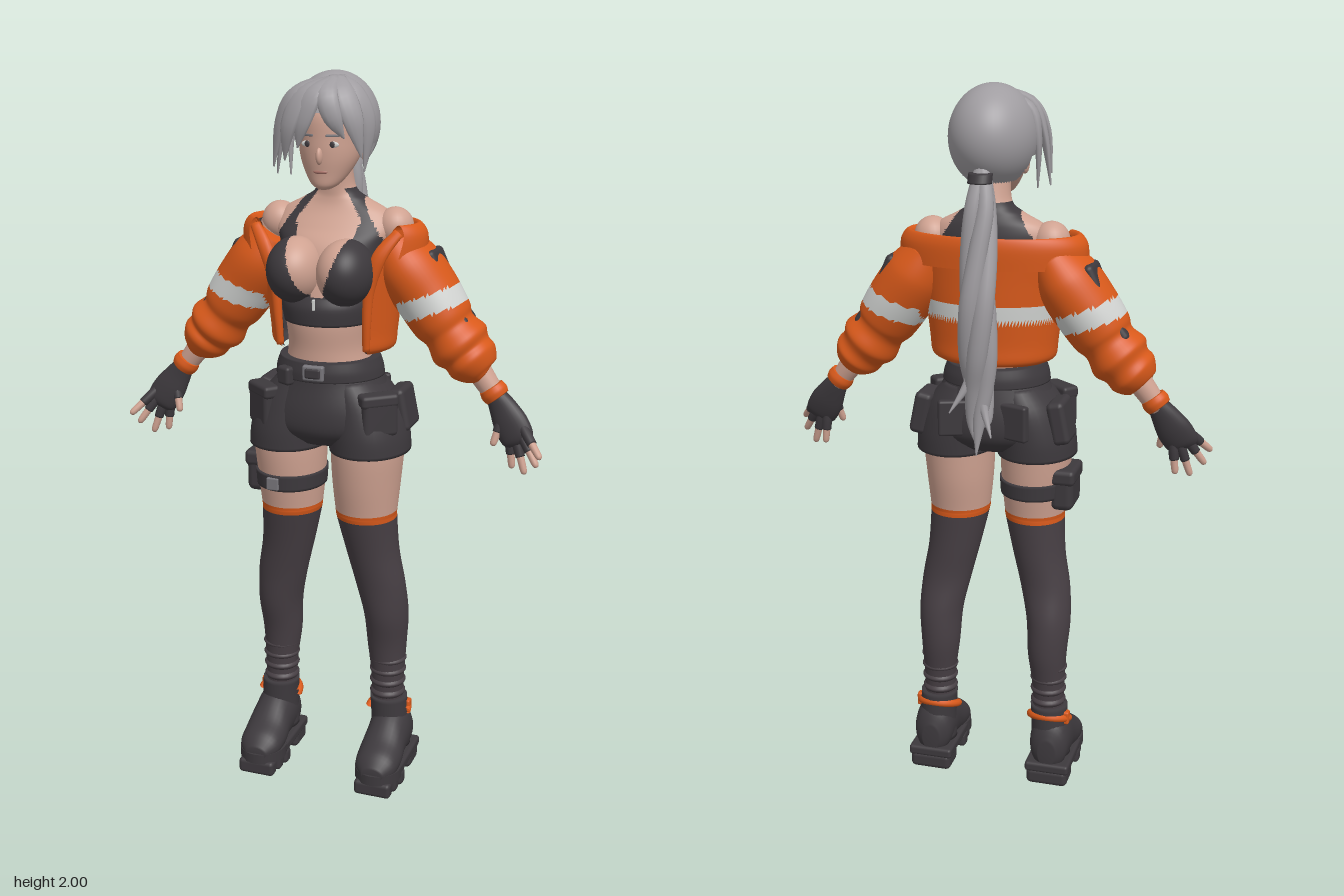
import * as THREE from 'three';
import { RoundedBoxGeometry } from 'three/addons/geometries/RoundedBoxGeometry.js';

const V = (x, y, z) => new THREE.Vector3(x, y, z);
const UP = V(0, 1, 0), X = V(1, 0, 0), Z = V(0, 0, 1);
const mat = (name, color, side = THREE.FrontSide) => {
  const m = new THREE.MeshStandardMaterial({ color, side });
  m.name = name;
  return m;
};

// Catmull-Rom interpolation of every column in a list of stations
function smooth(rows, k = 5) {
  const out = [], n = rows.length, at = i => rows[Math.min(n - 1, Math.max(0, i))];
  for (let i = 0; i < n - 1; i++) for (let s = 0; s < k; s++) {
    const t = s / k, [a, b, c, d] = [at(i - 1), at(i), at(i + 1), at(i + 2)];
    out.push(b.map((_, j) => 0.5 * (2 * b[j] + (c[j] - a[j]) * t + (2 * a[j] - 5 * b[j] + 4 * c[j] - d[j]) * t * t
      + (3 * b[j] - a[j] - 3 * c[j] + d[j]) * t ** 3)));
  }
  out.push(rows[n - 1]);
  return out;
}
function build(pos, index) {
  const g = new THREE.BufferGeometry();
  g.setAttribute('position', new THREE.Float32BufferAttribute(pos, 3));
  g.setIndex(index);
  g.computeVertexNormals();
  return g;
}
// Closed elliptical rings through stations [x, y, z, a, b]; a lies along hint; axis fixes the ring tilt
function loft(stations, { hint = X, axis = null, n = 28, k = 5 } = {}) {
  const rows = smooth(stations, k), pos = [], index = [], m = rows.length;
  const P = i => V(...rows[Math.min(m - 1, Math.max(0, i))].slice(0, 3));
  rows.forEach(([x, y, z, a, b], i) => {
    const T = axis || P(i + 1).sub(P(i - 1)).normalize();
    const U = hint.clone().addScaledVector(T, -hint.dot(T)).normalize(), W = T.clone().cross(U);
    for (let j = 0; j < n; j++) {
      const t = j / n * Math.PI * 2;
      const p = V(x, y, z).addScaledVector(U, Math.max(a, 0.001) * Math.cos(t)).addScaledVector(W, Math.max(b, 0.001) * Math.sin(t));
      pos.push(p.x, p.y, p.z);
      if (i < m - 1) {
        const q = i * n + j, r = i * n + (j + 1) % n;
        index.push(q, r, r + n, q, r + n, q + n);
      }
    }
  });
  const e = m * n;
  pos.push(...rows[0].slice(0, 3), ...rows[m - 1].slice(0, 3));
  for (let j = 0; j < n; j++) {
    const r = (j + 1) % n;
    index.push(e, r, j, e + 1, e - n + j, e - n + r);
  }
  return build(pos, index);
}
// Sheet wrapped around the back, open at the front; stations [y, rx, rz, cz, open angle]
function wrap(stations, n = 64) {
  const rows = smooth(stations), pos = [], index = [];
  rows.forEach(([y, rx, rz, cz, open], i) => {
    for (let j = 0; j <= n; j++) {
      const t = open + (Math.PI * 2 - open * 2) * j / n;
      pos.push(rx * Math.sin(t), y, cz + rz * Math.cos(t));
      if (i < rows.length - 1 && j < n) {
        const q = i * (n + 1) + j, r = q + n + 1;
        index.push(q, q + 1, r + 1, q, r + 1, r);
      }
    }
  });
  return build(pos, index);
}
const blob = (c, r, w = 28, h = 20) => new THREE.SphereGeometry(1, w, h).scale(...r).translate(...c);
// Sort faces into material groups by their centre; -1 drops the face
function paint(g, count, rule) {
  const p = g.attributes.position, ix = g.index.array, sets = Array.from({ length: count }, () => []);
  for (let i = 0; i < ix.length; i += 3) {
    const f = [ix[i], ix[i + 1], ix[i + 2]], mid = fn => f.reduce((s, v) => s + fn(v), 0) / 3;
    const k = rule(mid(v => p.getX(v)), mid(v => p.getY(v)), mid(v => p.getZ(v)));
    if (k >= 0) sets[k].push(...f);
  }
  g.setIndex(sets.flat());
  g.clearGroups();
  let start = 0;
  sets.forEach((s, k) => { g.addGroup(start, s.length, k); start += s.length; });
  return g;
}

export function createModel() {
  const model = new THREE.Group();
  const skin = mat('skin', 0xcfa291), orange = mat('orange cloth', 0xd8591a, THREE.DoubleSide);
  const dark = mat('dark cloth', 0x3d393d, THREE.DoubleSide), stocking = mat('stocking', 0x473f44);
  const hair = mat('hair', 0xa09da1, THREE.DoubleSide), white = mat('reflective white', 0xd2d4d2, THREE.DoubleSide);
  const lips = mat('lips', 0xab756b), metal = mat('metal', 0x77757a);
  const add = (name, geo, m) => {
    const mesh = new THREE.Mesh(geo, m);
    mesh.name = name;
    model.add(mesh);
    return mesh;
  };
  const box = (name, m, size, p, ry = 0, rz = 0) => {
    const b = add(name, new RoundedBoxGeometry(...size, 2, Math.min(...size) * 0.3), m);
    b.position.set(...p);
    b.rotation.set(0, ry, rz);
  };

  // Torso and bust, with the halter top coloured by its outline
  const halter = (x, y, z) => {
    const ax = Math.abs(x);
    if (y < 1.36 || y > 1.7 || ax > 0.065 + (1.7 - y) * 0.65) return 0;
    const neck = y < 1.42 ? 0 : y < 1.62 ? 0.09 * ((y - 1.42) / 0.2) ** 0.6 : 0.09 - (y - 1.62) * 0.7;
    return z > 0 && ax < neck ? 0 : 1;
  };
  const torso = loft([[0, 1.2, 0.035, 0.13, 0.11], [0, 1.28, 0.037, 0.113, 0.108], [0, 1.36, 0.042, 0.118, 0.11],
    [0, 1.45, 0.03, 0.13, 0.11], [0, 1.55, 0.012, 0.145, 0.1], [0, 1.6, -0.008, 0.165, 0.082], [0, 1.64, -0.018, 0.145, 0.065],
    [0, 1.67, -0.018, 0.09, 0.054], [0, 1.7, -0.014, 0.053, 0.05], [0, 1.78, 0, 0.045, 0.047]], { axis: UP, n: 96, k: 9 });
  add('torso', paint(torso, 2, halter), [skin, dark]);
  for (const s of [1, -1])
    add('bust', paint(blob([s * 0.07, 1.495, 0.11], [0.076, 0.088, 0.095], 64, 56), 2, halter), [skin, dark]);
  add('topBand', loft([[0, 1.355, 0.045, 0.121, 0.115], [0, 1.4, 0.045, 0.128, 0.118], [0, 1.43, 0.04, 0.125, 0.11]], { axis: UP, n: 48 }), dark);
  box('zipPull', white, [0.008, 0.03, 0.008], [0, 1.415, 0.165]);

  // Head and face
  add('head', loft([[0, 1.705, 0.08, 0.015, 0.018], [0, 1.717, 0.072, 0.036, 0.036], [0, 1.745, 0.052, 0.058, 0.06],
    [0, 1.785, 0.033, 0.077, 0.085], [0, 1.83, 0.02, 0.084, 0.1], [0, 1.9, 0.012, 0.085, 0.103], [0, 1.96, 0, 0.055, 0.07]], { axis: UP, n: 40 }), skin);
  add('nose', blob([0, 1.793, 0.118], [0.009, 0.022, 0.014]), skin);
  add('mouth', blob([0, 1.752, 0.109], [0.02, 0.006, 0.006]), lips);
  for (const s of [1, -1]) {
    add('eye', blob([s * 0.034, 1.823, 0.111], [0.017, 0.008, 0.004]), white);
    add('iris', blob([s * 0.034, 1.823, 0.114], [0.007, 0.008, 0.003]), dark);
    box('brow', metal, [0.036, 0.006, 0.008], [s * 0.034, 1.845, 0.111], s * 0.35);
    add('ear', blob([s * 0.085, 1.8, 0.0], [0.012, 0.03, 0.02]), skin);
  }

  // Hair cap, fringe locks and ponytail
  add('hairCap', paint(blob([0, 1.865, -0.002], [0.116, 0.135, 0.148], 56, 44), 1, (x, y, z) =>
    (z > 0.05 && y < 1.9) || (z > -0.02 && y < 1.82) || y < 1.755 ? -1 : 0), hair);
  const locks = [
    [[0.02, 1.985, 0.05], [-0.04, 1.95, 0.115], [-0.075, 1.87, 0.14], [-0.09, 1.78, 0.13], 0.034],
    [[0.02, 1.985, 0.04], [-0.07, 1.95, 0.095], [-0.112, 1.87, 0.105], [-0.132, 1.76, 0.1], 0.034],
    [[0.01, 1.985, 0.02], [-0.085, 1.95, 0.055], [-0.122, 1.86, 0.055], [-0.142, 1.735, 0.05], 0.032],
    [[0, 1.98, 0.0], [-0.09, 1.94, 0.02], [-0.115, 1.86, 0.015], [-0.112, 1.73, 0.03], 0.026],
    [[0.02, 1.985, 0.06], [-0.01, 1.95, 0.128], [-0.035, 1.88, 0.147], [-0.05, 1.815, 0.142], 0.03],
    [[0.02, 1.985, 0.06], [0.025, 1.95, 0.128], [0.045, 1.89, 0.138], [0.068, 1.84, 0.12], 0.028],
    [[0.03, 1.985, 0.05], [0.06, 1.95, 0.1], [0.09, 1.88, 0.11], [0.105, 1.79, 0.09], 0.032],
    [[0.03, 1.985, 0.03], [0.08, 1.95, 0.065], [0.112, 1.87, 0.06], [0.1, 1.75, 0.055], 0.03]];
  for (const [a, b, c, d, w] of locks)
    add('fringeLock', loft([[...a, w * 0.6, 0.008], [...b, w, 0.013], [...c, w * 0.85, 0.011], [...d, 0.002, 0.002]],
      { hint: V(c[2], 0, -c[0]).normalize(), n: 12 }), hair);
  add('hairTie', loft([[0, 1.76, -0.135, 0.032, 0.026], [0, 1.785, -0.125, 0.032, 0.026]], { axis: UP }), dark);
  const spine = [[1.8, -0.11, 0.022], [1.7, -0.128, 0.027], [1.58, -0.145, 0.03], [1.45, -0.16, 0.033], [1.32, -0.155, 0.032],
    [1.22, -0.143, 0.027], [1.13, -0.145, 0.02], [1.04, -0.165, 0.002]];
  for (let k = 0; k < 4; k++)
    add('ponytailStrand', loft(spine.map(([y, z, r], i) => {
      const t = k * Math.PI / 2 + i * 0.75, o = i ? r * 0.7 + 0.003 : 0;
      return [o * Math.cos(t), y + (i === 7 ? k * 0.03 : 0), z + o * 0.8 * Math.sin(t), r * 0.85, r * 0.75];
    }), { n: 16 }), hair);
  for (const [x, y] of [[0.07, 1.16], [-0.045, 1.1]])
    add('ponytailWisp', loft([[0, y + 0.2, -0.155, 0.012, 0.01], [x * 0.3, y + 0.09, -0.16, 0.014, 0.012], [x, y, -0.19, 0.002, 0.002]], { n: 10 }), hair);

  // Jacket body, lining and folded collar, worn off the shoulders
  const body = [[1.27, 0.15, 0.112, 0.005, 0.9], [1.285, 0.172, 0.122, 0.005, 0.78], [1.33, 0.178, 0.122, 0.005, 0.74], [1.42, 0.188, 0.128, 0.005, 0.74],
    [1.5, 0.2, 0.13, 0.005, 0.78], [1.57, 0.215, 0.13, 0.003, 0.95], [1.605, 0.222, 0.128, 0, 1.05]];
  add('jacketBody', paint(wrap(body, 96), 2, (x, y, z) => (z < -0.02 && y > 1.39 && y < 1.44 ? 1 : 0)), [orange, white]);
  add('jacketLining', wrap(body.map(([y, rx, rz, cz, o]) => [y, rx - 0.008, rz - 0.008, cz, o])), dark);
  add('jacketCollar', wrap([[1.56, 0.208, 0.122, 0.003, 0.9], [1.605, 0.218, 0.124, 0, 1.0], [1.618, 0.235, 0.13, 0, 1.03],
    [1.59, 0.256, 0.137, 0, 1.0], [1.535, 0.258, 0.139, 0.003, 0.92]]), orange);
  for (const s of [1, -1])
    add('jacketEdge', loft([[s * 0.122, 1.285, 0.095, 0.01, 0.01], [s * 0.125, 1.36, 0.102, 0.012, 0.012], [s * 0.132, 1.45, 0.104, 0.015, 0.012],
      [s * 0.158, 1.54, 0.1, 0.02, 0.012], [s * 0.2, 1.6, 0.07, 0.014, 0.01]], { n: 14 }), orange);

  // Shorts, belt and pockets
  add('shortsHips', loft([[0, 1.02, 0.03, 0.11, 0.1], [0, 1.06, 0.03, 0.195, 0.138], [0, 1.12, 0.03, 0.187, 0.144],
    [0, 1.2, 0.03, 0.147, 0.13], [0, 1.25, 0.035, 0.128, 0.122]], { axis: UP, n: 48 }), dark);
  add('belt', loft([[0, 1.205, 0.033, 0.15, 0.136], [0, 1.23, 0.034, 0.146, 0.136], [0, 1.258, 0.035, 0.136, 0.13]], { axis: UP, n: 48 }), dark);
  box('buckle', metal, [0.06, 0.042, 0.02], [0, 1.232, 0.167]);
  box('buckleCentre', dark, [0.044, 0.028, 0.02], [0, 1.232, 0.171]);
  box('beltPouch', dark, [0.045, 0.05, 0.03], [-0.085, 1.215, 0.15], -0.5);

  // Thigh strap and pouch on the right leg
  add('thighStrap', loft([[-0.11, 0.88, 0.045, 0.097, 0.11], [-0.11, 0.925, 0.045, 0.1, 0.113]], { axis: UP, n: 40 }), dark);
  box('thighPouch', dark, [0.065, 0.115, 0.12], [-0.2, 0.905, 0.03]);
  box('thighPouchFlap', dark, [0.074, 0.045, 0.128], [-0.2, 0.945, 0.03]);
  box('strapBuckle', metal, [0.035, 0.035, 0.012], [-0.125, 0.902, 0.157]);

  for (const s of [1, -1]) {
    const S = rows => rows.map(([x, ...r]) => [s * x, ...r]);
    add('shortsLeg', loft(S([[0.117, 1, 0.037, 0.111, 0.13], [0.113, 1.06, 0.035, 0.108, 0.132], [0.095, 1.14, 0.03, 0.095, 0.125],
      [0.07, 1.2, 0.03, 0.07, 0.11]]), { axis: UP, n: 36 }), dark);
    box('frontPocket', dark, [0.1, 0.11, 0.045], [s * 0.165, 1.115, 0.115], s * 0.7);
    box('frontPocketFlap', dark, [0.106, 0.035, 0.052], [s * 0.162, 1.16, 0.115], s * 0.7);
    box('sidePocket', dark, [0.05, 0.12, 0.11], [s * 0.195, 1.11, -0.01], 0, s * 0.2);
    box('backPocket', dark, [0.085, 0.1, 0.025], [s * 0.085, 1.12, -0.103], s * 0.35);

    // Leg with stocking and its trim
    const leg = loft(S([[0.165, 0.1, 0.002, 0.044, 0.045], [0.165, 0.28, 0.003, 0.046, 0.047], [0.161, 0.4, 0, 0.056, 0.06], [0.161, 0.5, 0.012, 0.063, 0.07],
      [0.147, 0.6, 0.027, 0.071, 0.067], [0.126, 0.7, 0.035, 0.075, 0.075], [0.111, 0.803, 0.044, 0.084, 0.088],
      [0.11, 0.825, 0.045, 0.086, 0.09], [0.11, 0.91, 0.045, 0.094, 0.105], [0.112, 1, 0.045, 0.1, 0.114], [0.112, 1.07, 0.04, 0.1, 0.114]]), { axis: UP, n: 40 });
    add('leg', paint(leg, 3, (x, y) => (y > 0.825 ? 0 : y > 0.803 ? 1 : 2)), [skin, orange, stocking]);
    for (let i = 0; i < 4; i++) {
      const y = 0.25 + i * 0.035;
      add('stockingFold', loft(S([[0.165, y - 0.012, 0.003, 0.043, 0.044], [0.165, y, 0.003, 0.051 + i * 0.001, 0.053], [0.165, y + 0.012, 0.003, 0.044, 0.045]]), { axis: UP }), stocking);
    }

    // Boot: shaft, upper, treaded sole and ankle strap
    add('bootShaft', loft(S([[0.175, 0.08, 0, 0.058, 0.06], [0.172, 0.16, 0, 0.054, 0.056], [0.168, 0.235, 0.002, 0.054, 0.054]]), { axis: UP }), dark);
    add('bootUpper', loft(S([[0.177, 0.1, -0.068, 0.025, 0.04], [0.177, 0.115, -0.045, 0.053, 0.075], [0.177, 0.125, 0, 0.06, 0.085],
      [0.178, 0.113, 0.055, 0.06, 0.073], [0.178, 0.09, 0.11, 0.064, 0.055], [0.178, 0.078, 0.16, 0.058, 0.043], [0.178, 0.068, 0.192, 0.03, 0.02]]), { axis: Z }), dark);
    box('bootWelt', dark, [0.13, 0.03, 0.2], [s * 0.178, 0.055, 0.025]);
    add('bootToeWelt', new THREE.CylinderGeometry(0.067, 0.067, 0.03, 28).scale(1, 1, 1.1).translate(s * 0.178, 0.055, 0.125), dark);
    box('bootHeel', dark, [0.122, 0.05, 0.085], [s * 0.178, 0.025, -0.032]);
    for (let i = 0; i < 3; i++) box('bootTread', dark, [0.132 - i * 0.012, 0.045, 0.038], [s * 0.178, 0.0225, 0.09 + i * 0.042]);
    const strap = add('ankleStrap', new THREE.TorusGeometry(0.057, 0.011, 10, 28, Math.PI), orange);
    strap.position.set(s * 0.169, 0.19, 0.008);
    strap.rotation.x = -Math.PI / 2 + 0.35;
    box('ankleTab', orange, [0.02, 0.04, 0.025], [s * 0.222, 0.2, -0.01]);

    // Arm and puffy sleeve with reflective band and patches
    add('shoulder', blob([s * 0.163, 1.6, -0.02], [0.05, 0.053, 0.052]), skin);
    add('arm', loft(S([[0.165, 1.6, -0.02, 0.045, 0.045], [0.24, 1.47, -0.02, 0.042, 0.042], [0.33, 1.34, -0.01, 0.036, 0.036],
      [0.4, 1.24, -0.005, 0.034, 0.034], [0.46, 1.16, 0, 0.024, 0.027]]), { hint: Z }), skin);
    const sleeve = loft(S([[0.165, 1.565, -0.015, 0.085, 0.06], [0.205, 1.5, -0.012, 0.106, 0.086], [0.255, 1.43, -0.013, 0.1, 0.089],
      [0.3, 1.365, -0.01, 0.09, 0.084], [0.322, 1.335, -0.01, 0.08, 0.073], [0.35, 1.3, -0.01, 0.09, 0.084], [0.37, 1.277, -0.01, 0.078, 0.071],
      [0.39, 1.255, -0.008, 0.08, 0.07], [0.412, 1.232, -0.006, 0.055, 0.05], [0.416, 1.228, -0.006, 0.033, 0.033]]), { hint: Z, n: 48, k: 8 });
    add('sleeve', paint(sleeve, 2, (x, y) => {
      const d = (Math.abs(x) - 0.28) * 0.35 - (y - 1.415) * 0.94;
      return Math.abs(d) < 0.026 && Math.abs(x) > 0.19 ? 1 : 0;
    }), [orange, white]);
    box('sleevePatchUpper', dark, [0.05, 0.08, 0.105], [s * 0.272, 1.508, -0.02], 0, s * 0.42);
    box('sleevePatchLower', dark, [0.05, 0.075, 0.1], [s * 0.345, 1.375, -0.015], 0, s * 0.66);
    add('wristBand', loft(S([[0.44, 1.192, 0, 0.032, 0.034], [0.45, 1.178, 0, 0.036, 0.038], [0.46, 1.165, 0, 0.032, 0.034]]), { hint: Z }), orange);

    // Fingerless glove and spread fingers
    add('glove', loft(S([[0.455, 1.17, 0, 0.025, 0.028], [0.475, 1.14, 0.004, 0.025, 0.038], [0.5, 1.1, 0.012, 0.025, 0.048],
      [0.522, 1.065, 0.02, 0.02, 0.046], [0.53, 1.05, 0.022, 0.01, 0.034]]), { hint: Z }), dark);
    const fingers = [[[0.545, 1.085, 0.03], [0.596, 1.03, 0.075]], [[0.538, 1.067, 0.025], [0.583, 0.998, 0.05]], [[0.52, 1.052, 0.018], [0.547, 0.968, 0.03]],
      [[0.5, 1.05, 0.012], [0.508, 0.975, 0.012]], [[0.475, 1.105, 0.015], [0.458, 1.04, 0.035]]];
    for (const [a, b] of fingers) {
      const at = (t, r) => [...a.map((v, i) => v + (b[i] - v) * t), r, r];
      add('finger', loft(S([at(0, 0.011), at(0.5, 0.0105), at(0.9, 0.009), at(1, 0.003)]), { hint: Z, n: 12 }), skin);
      add('gloveFinger', loft(S([at(-0.3, 0.013), at(0.1, 0.014), at(0.45, 0.013)]), { hint: Z, n: 12 }), dark);
    }
  }
  return model;
}
